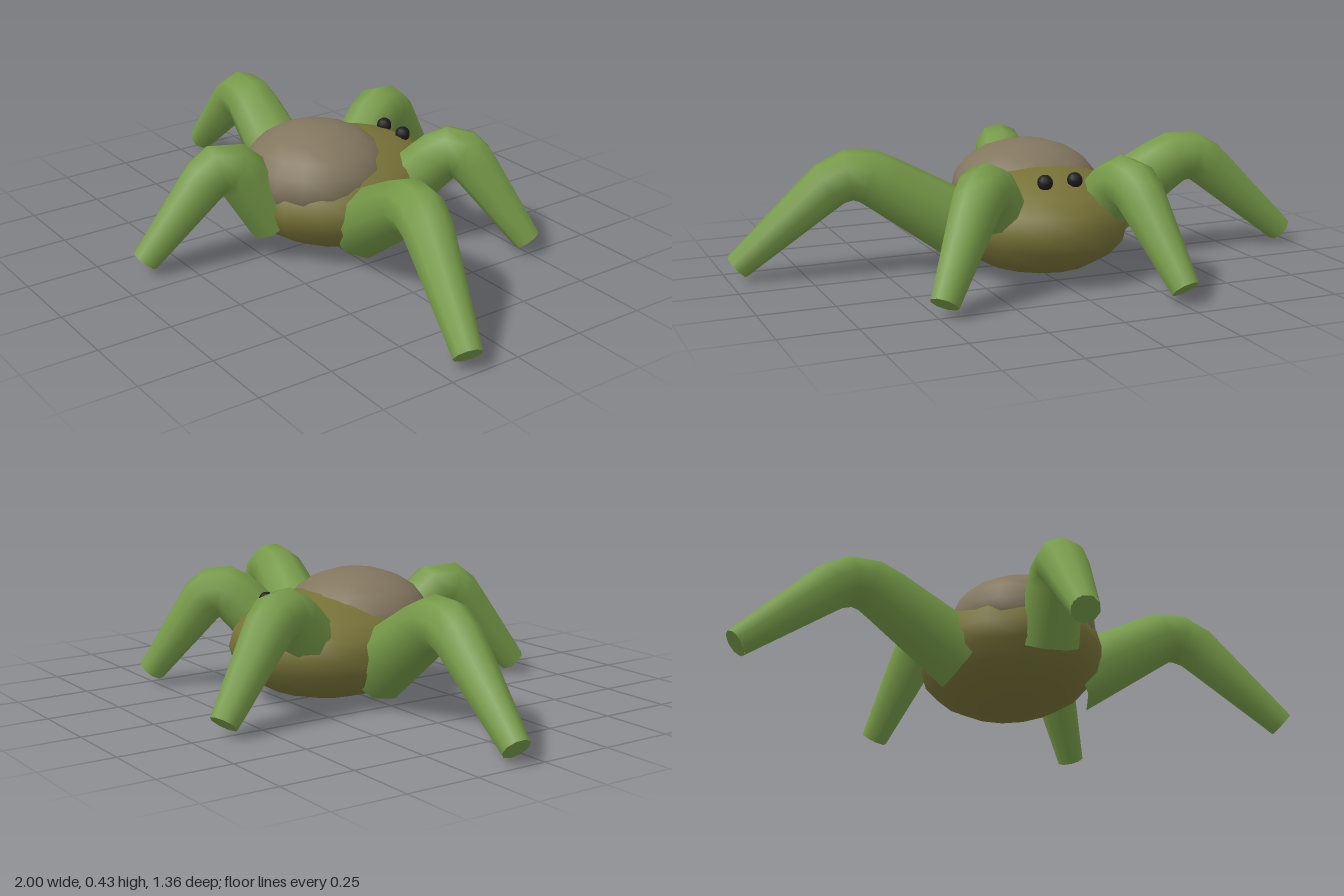
import * as THREE from 'three';

const mat = (name, color) => {
  const m = new THREE.MeshStandardMaterial({ color });
  m.name = name;
  return m;
};

export function createModel() {
  const green = mat('leg green', 0x769a48);
  const olive = mat('body olive', 0x787238);
  const brown = mat('shell brown', 0x82765e);
  const black = mat('eye black', 0x1c1c1e);
  const model = new THREE.Group();
  model.name = 'fiveLeggedCrawler';

  const ellipsoid = (name, material, pos, size, w, h) => {
    const mesh = new THREE.Mesh(new THREE.SphereGeometry(1, w, h), material);
    mesh.name = name;
    mesh.position.set(...pos);
    mesh.scale.set(...size);
    model.add(mesh);
  };

  // Body, domed shell and eyes
  ellipsoid('body', olive, [0, 0.19, -0.075], [0.31, 0.187, 0.355], 16, 10);
  ellipsoid('shell', brown, [-0.005, 0.27, 0.03], [0.253, 0.162, 0.248], 16, 10);
  for (const x of [-0.045, 0.06]) ellipsoid('eye', black, [x, 0.345, -0.29], [0.026, 0.026, 0.026], 10, 8);

  // Tapered tube: straight thigh, rounded knee, straight shin, flat foot
  const addLeg = (name, hip, knee, foot, r0) => {
    const [a, k, b] = [hip, knee, foot].map(p => new THREE.Vector3(...p));
    const near = k.clone().lerp(a, Math.min(0.5, 0.11 / k.distanceTo(a)));
    const far = k.clone().lerp(b, 0.11 / k.distanceTo(b));
    const path = new THREE.CurvePath();
    path.add(new THREE.LineCurve3(a, near));
    path.add(new THREE.QuadraticBezierCurve3(near, k, far));
    path.add(new THREE.LineCurve3(far, b));
    const rings = 14, sides = 9;
    const geo = new THREE.TubeGeometry(path, rings, 1, sides, false);
    const kneeAt = a.distanceTo(k) / (a.distanceTo(k) + k.distanceTo(b));
    const pos = geo.attributes.position, v = new THREE.Vector3();
    for (let i = 0; i <= rings; i++) {
      const t = i / rings, centre = path.getPointAt(t);
      const r = t < kneeAt
        ? THREE.MathUtils.lerp(r0, 0.088, t / kneeAt)
        : THREE.MathUtils.lerp(0.088, 0.047, (t - kneeAt) / (1 - kneeAt));
      for (let j = 0; j <= sides; j++) {
        const n = i * (sides + 1) + j;
        v.fromBufferAttribute(pos, n).sub(centre).multiplyScalar(r).add(centre);
        pos.setXYZ(n, v.x, v.y, v.z);
      }
    }
    const leg = new THREE.Group();
    leg.name = name;
    const limb = new THREE.Mesh(geo, green);
    limb.name = 'limb';
    const sole = new THREE.Mesh(new THREE.CircleGeometry(0.047, sides), green);
    sole.name = 'sole';
    sole.position.copy(b);
    sole.quaternion.setFromUnitVectors(new THREE.Vector3(0, 0, 1), b.clone().sub(k).normalize());
    leg.add(limb, sole);
    model.add(leg);
  };

  addLeg('leftLeg', [0.2, 0.13, -0.02], [0.6, 0.378, 0.07], [0.967, 0.048, 0.168], 0.12);
  addLeg('rightLeg', [-0.2, 0.13, -0.015], [-0.59, 0.378, -0.05], [-0.967, 0.048, -0.082], 0.12);
  addLeg('frontLeg', [0, 0.14, 0.2], [-0.05, 0.385, 0.365], [-0.117, 0.048, 0.64], 0.105);
  addLeg('backLeftLeg', [0.19, 0.24, -0.23], [0.29, 0.385, -0.34], [0.485, 0.048, -0.505], 0.095);
  addLeg('backRightLeg', [-0.15, 0.23, -0.25], [-0.185, 0.385, -0.385], [-0.263, 0.048, -0.645], 0.095);

  return model;
}
